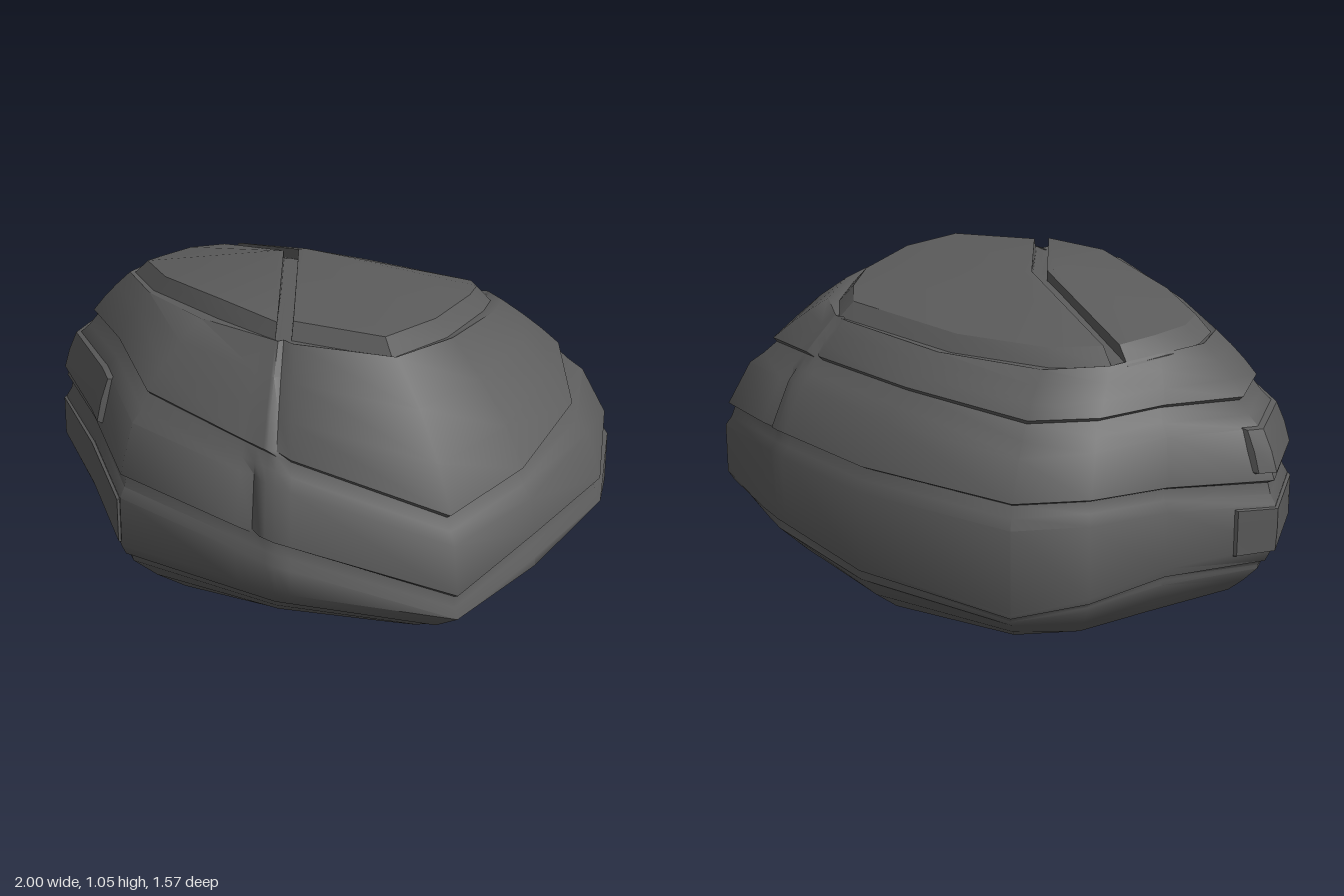
import * as THREE from 'three';
import { toCreasedNormals } from 'three/addons/utils/BufferGeometryUtils.js';

const material = new THREE.MeshStandardMaterial({ color: 0x5c5c5c });

// Columns around the boulder: widest x, z | cap x, z | cap height |
// upper, middle and lower seam heights | height where the underside turns in
const columns = [
  [1, -0.2, 0.52, -0.18, 0.98, 0.68, 0.44, 0.24, 0.36],
  [0.97, 0.2, 0.55, 0.1, 0.99, 0.6, 0.4, 0.2, 0.29],
  [0.86, 0.49, 0.5, 0.33, 0.99, 0.53, 0.28, 0.14, 0.2],
  [0.35, 0.73, 0.18, 0.41, 1.0, 0.68, 0.42, 0.2, 0.25],
  [-0.2, 0.78, -0.1, 0.37, 1.01, 0.78, 0.53, 0.25, 0.28],
  [-0.55, 0.47, -0.45, 0.2, 0.97, 0.79, 0.53, 0.25, 0.28],
  [-0.91, 0.18, -0.64, 0.05, 0.95, 0.76, 0.51, 0.24, 0.28],
  [-0.99, -0.07, -0.65, -0.04, 0.94, 0.75, 0.5, 0.22, 0.28],
  [-0.76, -0.35, -0.62, -0.18, 0.94, 0.76, 0.52, 0.22, 0.25],
  [-0.64, -0.61, -0.54, -0.32, 0.93, 0.76, 0.54, 0.2, 0.22],
  [-0.47, -0.79, -0.37, -0.42, 0.92, 0.76, 0.55, 0.18, 0.19],
  [0.1, -0.79, -0.05, -0.46, 0.92, 0.78, 0.55, 0.2, 0.19],
  [0.52, -0.68, 0.4, -0.41, 0.94, 0.79, 0.55, 0.24, 0.22],
  [0.87, -0.52, 0.47, -0.32, 0.96, 0.77, 0.53, 0.25, 0.28],
];
// Rim of the underside for the same columns: x, z, height
const baseRim = [
  [0.58, -0.12, 0.04], [0.56, 0.13, 0.03], [0.47, 0.37, 0.03], [0.2, 0.47, 0.03],
  [-0.13, 0.54, 0.05], [-0.45, 0.36, 0.05], [-0.8, 0.13, 0.08], [-0.83, -0.05, 0.08],
  [-0.67, -0.3, 0.06], [-0.54, -0.5, 0.04], [-0.36, -0.6, 0.02], [0.1, -0.6, 0],
  [0.4, -0.48, 0.02], [0.58, -0.34, 0.04],
];
const count = columns.length;
const { lerp } = THREE.MathUtils;

function columnAt(u) {
  const i = Math.floor(u);
  const mix = (table) => table[i % count].map((n, k) => lerp(n, table[(i + 1) % count][k], u - i));
  const [wx, wz, tx, tz, top, upper, middle, lower, turn] = mix(columns);
  const [bx, bz, base] = mix(baseRim);
  return { wx, wz, tx, tz, top, upper, middle, lower, turn, bx, bz, base };
}

// Point on the rock at height y, pushed outward by a small distance
function rockPoint(c, y, push = 0) {
  const shoulder = Math.max(c.turn, c.middle - 0.1);
  let x = c.wx, z = c.wz;
  if (y > shoulder) {
    const f = Math.pow((y - shoulder) / (c.top - shoulder), 2.2 + 0.3 * c.wz);
    x = lerp(x, c.tx, f);
    z = lerp(z, c.tz, f);
  } else if (y < c.turn) {
    const f = Math.pow((c.turn - y) / (c.turn - c.base), 1.4);
    x = lerp(x, c.bx, f);
    z = lerp(z, c.bz, f);
  }
  const r = Math.hypot(x + 0.05, z);
  return new THREE.Vector3(x + (x + 0.05) / r * push, y, z + z / r * push);
}

// Skin rows of points from bottom to top, with optional fan centres
function loft(name, rows, { closed = true, top, bottom, crease = 0.65 } = {}) {
  const n = rows[0].length;
  const points = rows.flat();
  const index = [];
  const cols = closed ? n : n - 1;
  for (let r = 0; r < rows.length - 1; r++) {
    for (let i = 0; i < cols; i++) {
      const a = r * n + i, b = r * n + (i + 1) % n;
      index.push(a, a + n, b + n, a, b + n, b);
    }
  }
  const fan = (centre, start, up) => {
    const k = points.push(centre) - 1;
    for (let i = 0; i < n; i++) {
      const a = start + i, b = start + (i + 1) % n;
      index.push(...(up ? [a, k, b] : [a, b, k]));
    }
  };
  if (top) fan(top, (rows.length - 1) * n, true);
  if (bottom) fan(bottom, 0, false);
  const geometry = new THREE.BufferGeometry().setFromPoints(points);
  geometry.setIndex(index);
  const mesh = new THREE.Mesh(toCreasedNormals(geometry, crease), material);
  mesh.name = name;
  return mesh;
}

// Vertical cracks: column position and the band they cut
const cracks = [
  { u: 3, band: 'upper' },
  { u: 3.15, band: 'middle' },
  { u: 12, band: 'upper' },
  { u: 12.2, band: 'middle' },
];

function makeBody() {
  const us = columns.map((_, i) => i);
  for (const { u } of cracks) us.push(u - 0.09, u, u + 0.09);
  const stations = [...new Set(us)].sort((a, b) => a - b);

  // Each row gives height, push and band; seams are sharp above and soft below
  const seam = (key, width, depth, below, above) => [
    [(c) => c[key] - width, 0, below],
    [(c) => c[key] - width * 0.6, -depth * 0.75, ''],
    [(c) => c[key] - width * 0.15, -depth, ''],
    [(c) => c[key], 0, above],
  ];
  const profile = [
    [(c) => c.base, 0, ''],
    [(c) => lerp(c.base, c.lower - 0.035, 0.5), 0, ''],
    ...seam('lower', 0.035, 0.012, '', ''),
    [(c) => Math.max(c.lower + 0.015, c.turn), 0, ''],
    ...seam('middle', 0.08, 0.025, '', 'middle'),
    ...seam('upper', 0.09, 0.025, 'middle', 'upper'),
    [(c) => lerp(c.upper, c.top - 0.05, 0.35), 0, 'upper'],
    [(c) => lerp(c.upper, c.top - 0.05, 0.7), 0, 'upper'],
    [(c) => c.top - 0.045, 0, 'upper'],
  ];
  const rows = profile.map(([height, push, band]) => stations.map((u) => {
    const cut = cracks.some((k) => k.u === u && k.band === band);
    const c = columnAt(u);
    return rockPoint(c, height(c), push - (cut ? 0.025 : 0));
  }));
  // Sunken floor beneath the cap plates
  rows.push(stations.map((u) => {
    const c = columnAt(u);
    return new THREE.Vector3(c.tx * 1.07, c.top - 0.052, c.tz * 1.07);
  }));
  return [
    loft('rockBody', rows, { top: new THREE.Vector3(-0.12, 1.015, -0.08), crease: 0.85 }),
    loft('underside', [rows[0]], { bottom: new THREE.Vector3(-0.1, 0.035, -0.05) }),
  ];
}

// Cap plate between two columns, split from its neighbour by a bent crack
function makePlate(name, from, to, side) {
  const dx = -0.018 * side, dz = 0.018 * side;
  const bend = new THREE.Vector3(-0.12 + dx, 1.045, -0.08 + dz);
  const edge = [], skirt = [];
  for (let i = from; i <= to; i++) {
    const c = columnAt(i);
    const end = i === from || i === to ? 1 : 0;
    edge.push(new THREE.Vector3(c.tx * 0.98 + dx * end, c.top, c.tz * 0.98 + dz * end));
    skirt.push(new THREE.Vector3(c.tx * 1.07 + dx * end, c.top - 0.055, c.tz * 1.07 + dz * end));
  }
  edge.push(bend);
  skirt.push(new THREE.Vector3(bend.x, 0.98, bend.z));
  const centre = bend.clone().add(new THREE.Vector3(dx, 0.001, dz));
  return loft(name, [skirt, edge], { top: centre, crease: 0.45 });
}

// Raised slab lying on a band between two column positions
function makeSlab(name, from, to, low, high, push) {
  const us = [from, from + 0.03];
  for (let i = Math.ceil(from + 0.1); i < to - 0.1; i++) us.push(i);
  us.push(to - 0.03, to);
  const rows = [0, 0.06, 0.5, 0.94, 1].map((v) => us.map((u, i) => {
    const c = columnAt(u);
    const border = v === 0 || v === 1 || i === 0 || i === us.length - 1;
    return rockPoint(c, lerp(low(c), high(c), v), border ? -0.02 : push);
  }));
  return loft(name, rows, { closed: false });
}

export function createModel() {
  const group = new THREE.Group();
  group.name = 'boulder';
  group.add(
    ...makeBody(),
    makePlate('frontCapPlate', 3, 9, 1),
    makePlate('backCapPlate', 9, 17, -1),
    makeSlab('lowerSideSlab', 4, 7.4, (c) => c.lower + 0.035, (c) => c.middle - 0.08, 0.01),
    makeSlab('middleSideSlab', 4.75, 7.2, (c) => c.middle + 0.02, (c) => c.upper - 0.08, 0.014),
  );
  return group;
}
